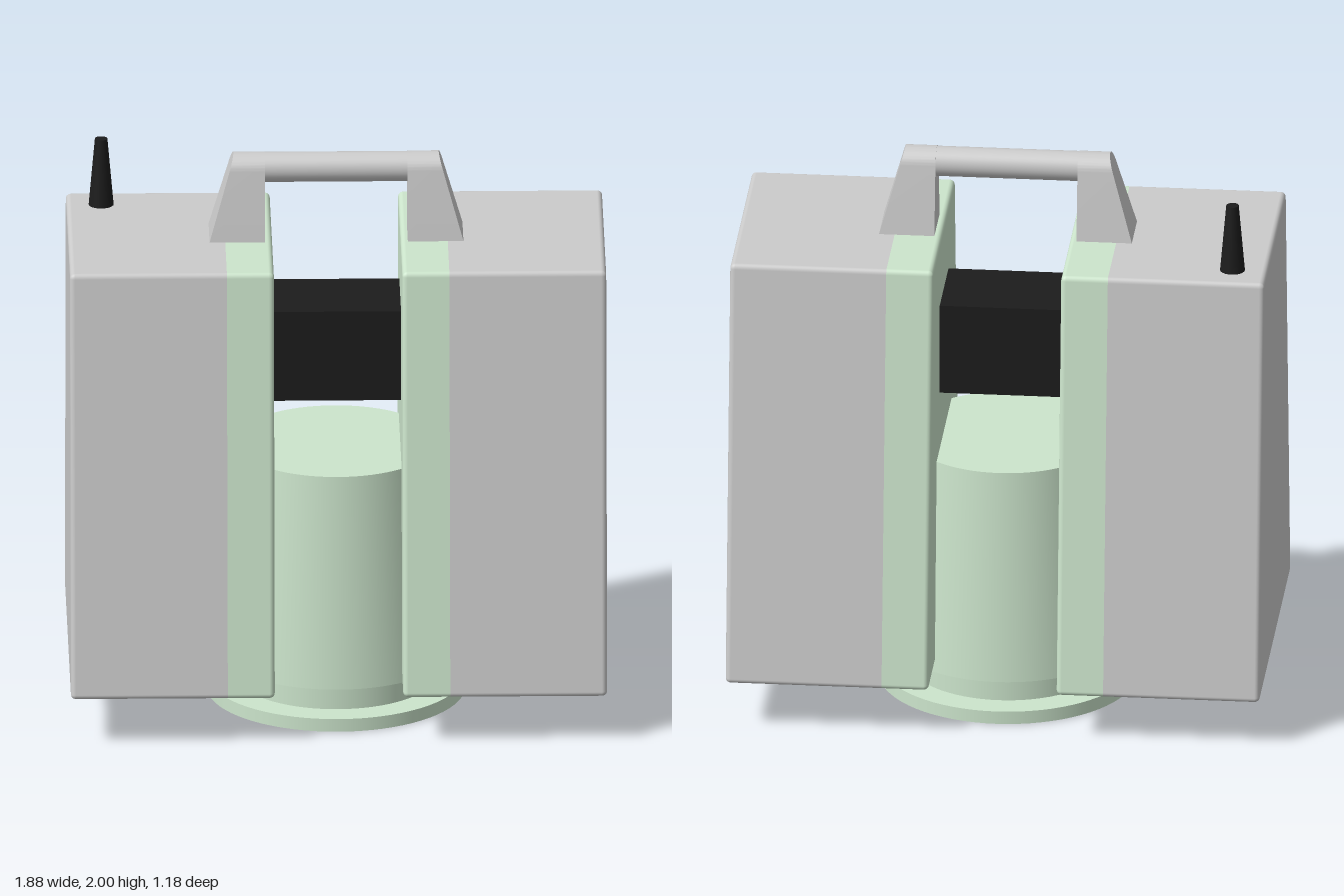
import * as THREE from 'three';
import { RoundedBoxGeometry } from 'three/addons/geometries/RoundedBoxGeometry.js';
import { toCreasedNormals } from 'three/addons/utils/BufferGeometryUtils.js';

const grey = new THREE.MeshStandardMaterial({ color: 0xcccccc });
const green = new THREE.MeshStandardMaterial({ color: 0xcce5cc });
const black = new THREE.MeshStandardMaterial({ color: 0x1c1c1c });

function add(parent, name, geometry, material, x = 0, y = 0, z = 0) {
  const mesh = new THREE.Mesh(geometry, material);
  mesh.name = name;
  mesh.position.set(x, y, z);
  parent.add(mesh);
  return mesh;
}

// Rounded box narrowing in z towards the top, kept only between xMin and xMax
function housingGeometry(xMin, xMax) {
  const x0 = 0.225, x1 = 0.94, y0 = 0.175, y1 = 1.7, depth = 0.593, topDepth = 0.413;
  const geo = new RoundedBoxGeometry(x1 - x0, y1 - y0, depth * 2, 4, 0.018);
  geo.translate((x0 + x1) / 2, (y0 + y1) / 2, 0);
  const p = geo.attributes.position, n = geo.attributes.normal;
  const slope = (topDepth / depth - 1) / (y1 - y0);
  const v = new THREE.Vector3();
  for (let i = 0; i < p.count; i++) {
    const s = 1 + slope * (p.getY(i) - y0), z = p.getZ(i);
    const nz = n.getZ(i) / s;
    v.set(n.getX(i), n.getY(i) - nz * z * slope, nz).normalize();
    n.setXYZ(i, v.x, v.y, v.z);
    p.setX(i, THREE.MathUtils.clamp(p.getX(i), xMin, xMax));
    p.setZ(i, z * s);
  }
  return geo;
}

// Handle post: round-topped profile run along x, with a sloping outer end
function postGeometry() {
  const tilt = 0.15, r = 0.06, yc = 1.94;
  const shape = new THREE.Shape();
  shape.moveTo(-0.098, 1.7);
  shape.lineTo(0.098, 1.7);
  shape.absarc(0, yc, r, tilt, Math.PI - tilt, false);
  shape.closePath();
  const geo = new THREE.ExtrudeGeometry(shape, { depth: 1, bevelEnabled: false, curveSegments: 16 });
  geo.rotateY(Math.PI / 2);
  const p = geo.attributes.position;
  for (let i = 0; i < p.count; i++) {
    const outer = 0.445 - 0.085 * (p.getY(i) - 1.7) / 0.3;
    p.setX(i, p.getX(i) > 0.5 ? outer : 0.25);
  }
  return toCreasedNormals(geo, 0.4);
}

export function createModel() {
  const model = new THREE.Group();
  model.name = 'laserScanner';

  // Stepped round base and tapering centre column
  const base = new THREE.Group();
  base.name = 'base';
  model.add(base);
  for (const [name, rTop, rBottom, y0, y1] of [
    ['footDisc', 0.453, 0.453, 0, 0.047],
    ['neck', 0.353, 0.353, 0.047, 0.143],
    ['column', 0.36, 0.415, 0.143, 0.918],
  ]) {
    add(base, name, new THREE.CylinderGeometry(rTop, rBottom, y1 - y0, 72), green, 0, (y0 + y1) / 2);
  }

  // Two side housings and handle posts, the second turned half round
  for (const side of ['left', 'right']) {
    const half = new THREE.Group();
    half.name = side + 'Side';
    half.rotation.y = side === 'left' ? 0 : Math.PI;
    add(half, side + 'InnerPanel', housingGeometry(0, 0.39), green);
    add(half, side + 'Housing', housingGeometry(0.39, 1), grey);
    add(half, side + 'HandlePost', postGeometry(), grey);
    model.add(half);
  }

  // Mirror block between the housings
  add(model, 'mirrorBlock', new THREE.BoxGeometry(0.456, 0.332, 0.33), black, 0, 1.298);

  // Carrying bar
  const bar = add(model, 'handleBar', new THREE.CylinderGeometry(0.053, 0.053, 0.52, 32), grey, 0, 1.946);
  bar.rotation.z = Math.PI / 2;

  // Antenna on the right housing
  add(model, 'antenna', new THREE.CylinderGeometry(0.022, 0.044, 0.248, 24), black, -0.818, 1.822, -0.295);

  return model;
}
